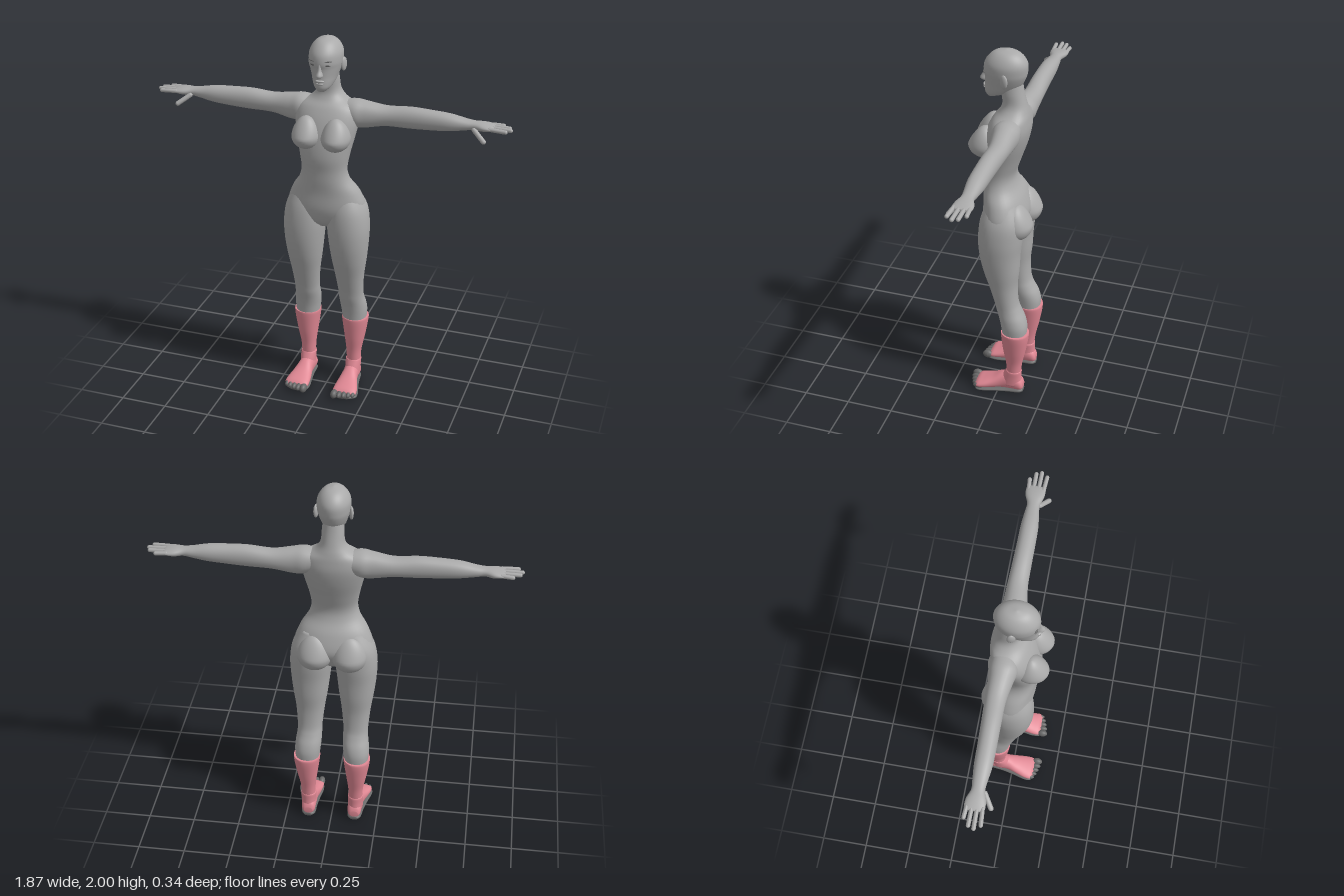
import * as THREE from 'three';

const mat = (name, color) => {
  const m = new THREE.MeshStandardMaterial({ color });
  m.name = name;
  return m;
};

// Smooth loft. Each row: [along, uMin, uMax, vMin, vMax], ascending along the axis.
const AXES = {
  y: (a, u, v) => [u, a, v],   // u = x, v = z
  x: (a, u, v) => [a, v, u],   // u = z, v = y
  z: (a, u, v) => [v, u, a],   // u = y, v = x
};
function loft(axis, rows, { sides = 36, steps = 5, power = 2.15 } = {}) {
  const put = AXES[axis], rings = [], pos = [], idx = [];
  const row = i => rows[Math.min(Math.max(i, 0), rows.length - 1)];
  for (let i = 0; i < rows.length - 1; i++) {
    for (let s = 0; s < steps; s++) {
      const t = s / steps;
      rings.push(rows[i].map((b, k) => {
        const a = row(i - 1)[k], c = row(i + 1)[k], d = row(i + 2)[k];
        return b + 0.5 * t * (c - a + t * (2 * a - 5 * b + 4 * c - d + t * (3 * (b - c) + d - a)));
      }));
    }
  }
  rings.push(rows[rows.length - 1]);
  const bend = c => Math.sign(c) * Math.abs(c) ** (2 / power);
  for (const [a, u0, u1, v0, v1] of rings) {
    for (let j = 0; j < sides; j++) {
      const th = j / sides * Math.PI * 2;
      pos.push(...put(a, (u0 + u1) / 2 + (u1 - u0) / 2 * bend(Math.cos(th)),
        (v0 + v1) / 2 + (v1 - v0) / 2 * bend(Math.sin(th))));
    }
  }
  const last = rings.length - 1, pole = pos.length / 3;
  for (const [a, u0, u1, v0, v1] of [rings[0], rings[last]]) pos.push(...put(a, (u0 + u1) / 2, (v0 + v1) / 2));
  for (let j = 0; j < sides; j++) {
    const k = (j + 1) % sides;
    for (let i = 0; i < last; i++) {
      const p = i * sides, q = p + sides;
      idx.push(p + j, q + j, p + k, q + j, q + k, p + k);
    }
    idx.push(pole, j, k, pole + 1, last * sides + k, last * sides + j);
  }
  const g = new THREE.BufferGeometry();
  g.setAttribute('position', new THREE.Float32BufferAttribute(pos, 3));
  g.setIndex(idx);
  g.computeVertexNormals();
  return g;
}

function ball(x, y, z, rx, ry, rz, turn = 0, tilt = 0) {
  return new THREE.SphereGeometry(1, 24, 16).scale(rx, ry, rz).rotateZ(tilt).rotateY(turn).translate(x, y, z);
}

// Rounded swelling whose upper half is stretched and sinks back into the body
function swelling(x, y, z, rx, ry, rz, stretch) {
  const g = new THREE.SphereGeometry(1, 32, 24), p = g.attributes.position;
  for (let i = 0; i < p.count; i++) {
    const h = Math.max(p.getY(i), 0);
    p.setXYZ(i, p.getX(i) * rx, p.getY(i) * ry * (1 + stretch * h), p.getZ(i) * rz * (1 - 0.25 * h));
  }
  g.translate(x, y, z);
  g.computeVertexNormals();
  return g;
}

function rod(a, b, r) {
  const p = new THREE.Vector3(...a), q = new THREE.Vector3(...b), d = q.clone().sub(p);
  const g = new THREE.CapsuleGeometry(r, d.length() - r, 6, 12);
  g.applyQuaternion(new THREE.Quaternion().setFromUnitVectors(new THREE.Vector3(0, 1, 0), d.normalize()));
  return g.translate(...p.add(q).multiplyScalar(0.5).toArray());
}

function mirrored(g) {
  const m = g.clone().scale(-1, 1, 1), ix = m.index.array;
  for (let i = 0; i < ix.length; i += 3) [ix[i], ix[i + 1]] = [ix[i + 1], ix[i]];
  m.computeVertexNormals();
  return m;
}

export function createModel() {
  const group = new THREE.Group();
  group.name = 'mannequin';
  const body = mat('body grey', 0xaaaaaa);
  const sock = mat('sock pink', 0xe08894);
  const dark = mat('dark grey', 0x686868);
  const add = (name, g, m) => {
    const mesh = new THREE.Mesh(g, m);
    mesh.name = name;
    group.add(mesh);
  };
  const pair = (name, g, m) => {
    add('left ' + name, g, m);
    add('right ' + name, mirrored(g), m);
  };
  const sym = rows => rows.map(([y, w, b, f]) => [y, -w, w, b, f]);

  // Torso and neck: height, half width, back, front
  add('torso', loft('y', sym([
    [0.99, 0.05, -0.07, 0.05], [1.03, 0.17, -0.1, 0.085], [1.1, 0.205, -0.125, 0.105],
    [1.19, 0.178, -0.1, 0.106], [1.26, 0.133, -0.062, 0.112], [1.32, 0.119, -0.052, 0.116],
    [1.4, 0.13, -0.075, 0.125], [1.5, 0.152, -0.108, 0.115], [1.58, 0.165, -0.124, 0.092],
    [1.64, 0.15, -0.122, 0.062], [1.68, 0.09, -0.115, 0.032], [1.72, 0.061, -0.104, 0.018],
    [1.78, 0.055, -0.09, 0.025], [1.84, 0.05, -0.08, 0.04],
  ])), body);
  pair('chest', swelling(0.077, 1.505, 0.085, 0.074, 0.068, 0.088, 0.5), body);
  pair('seat', swelling(0.09, 1.07, -0.08, 0.092, 0.085, 0.087, 0.35), body);

  // Head
  add('head', loft('y', sym([
    [1.745, 0.02, 0.055, 0.096], [1.765, 0.042, 0, 0.107], [1.79, 0.056, -0.05, 0.109],
    [1.82, 0.066, -0.08, 0.107], [1.86, 0.078, -0.1, 0.108], [1.89, 0.083, -0.107, 0.113],
    [1.93, 0.082, -0.107, 0.107], [1.965, 0.066, -0.088, 0.084], [1.989, 0.04, -0.055, 0.052],
    [2, 0.004, -0.005, 0.005],
  ]), { power: 2 }), body);
  add('nose', loft('y', sym([
    [1.82, 0.008, 0.09, 0.115], [1.832, 0.018, 0.085, 0.134], [1.86, 0.01, 0.085, 0.121],
    [1.895, 0.008, 0.085, 0.112],
  ]), { sides: 16, power: 2 }), body);
  add('upper lip', ball(0, 1.803, 0.105, 0.023, 0.006, 0.012), body);
  add('lower lip', ball(0, 1.79, 0.105, 0.02, 0.007, 0.012), body);
  add('mouth line', ball(0, 1.797, 0.108, 0.022, 0.002, 0.008), dark);
  pair('eye', ball(0.036, 1.884, 0.1, 0.016, 0.005, 0.004, 0.25), dark);
  pair('eyebrow', ball(0.038, 1.903, 0.1, 0.022, 0.003, 0.004, 0.28, 0.12), dark);
  pair('ear', ball(0.086, 1.865, -0.012, 0.011, 0.036, 0.021, -0.3), body);

  // Arm with palm: x, back, front, bottom, top
  pair('arm', loft('x', [
    [0.07, -0.1, 0.01, 1.57, 1.665], [0.14, -0.11, 0.03, 1.537, 1.677], [0.2, -0.104, 0.018, 1.535, 1.67],
    [0.3, -0.1, 0.002, 1.553, 1.656], [0.42, -0.095, 0, 1.555, 1.665], [0.52, -0.092, 0, 1.56, 1.662],
    [0.62, -0.09, -0.002, 1.568, 1.655], [0.7, -0.083, -0.012, 1.582, 1.64],
    [0.745, -0.08, -0.015, 1.59, 1.634], [0.79, -0.096, -0.002, 1.59, 1.631],
    [0.83, -0.098, 0, 1.598, 1.624], [0.845, -0.09, -0.008, 1.604, 1.618],
  ], { sides: 28 }), body);
  [[-0.085, -0.09, 0.89], [-0.062, -0.062, 0.925], [-0.037, -0.035, 0.935], [-0.012, -0.005, 0.915]]
    .forEach(([z0, z1, tip], i) => pair('finger ' + (i + 1), rod([0.82, 1.612, z0], [tip - 0.005, 1.61, z1], 0.0105), body));
  pair('thumb', rod([0.745, 1.602, -0.018], [0.81, 1.555, 0.025], 0.0125), body);

  // Leg: height, inner, outer, back, front
  pair('leg', loft('y', [
    [0.39, 0.07, 0.195, -0.152, -0.022], [0.45, 0.063, 0.2, -0.154, -0.014], [0.5, 0.058, 0.197, -0.142, -0.003],
    [0.55, 0.057, 0.19, -0.118, 0.012], [0.6, 0.056, 0.19, -0.102, 0.024], [0.7, 0.045, 0.199, -0.096, 0.053],
    [0.8, 0.03, 0.214, -0.105, 0.084], [0.9, 0.018, 0.225, -0.11, 0.104], [1, 0.008, 0.228, -0.12, 0.11],
    [1.1, 0.01, 0.212, -0.12, 0.1], [1.19, 0.03, 0.165, -0.08, 0.07],
  ]), body);

  // Sock: shaft, ankle cuff and foot
  pair('sock shaft', loft('y', [
    [0.13, 0.093, 0.168, -0.122, -0.045], [0.2, 0.09, 0.172, -0.13, -0.04], [0.28, 0.08, 0.188, -0.147, -0.027],
    [0.36, 0.069, 0.202, -0.161, -0.018], [0.4, 0.064, 0.207, -0.165, -0.015], [0.412, 0.065, 0.206, -0.163, -0.016],
  ]), sock);
  pair('ankle cuff', loft('y', [
    [0.05, 0.09, 0.17, -0.13, 0], [0.1, 0.089, 0.171, -0.126, -0.02], [0.136, 0.088, 0.172, -0.126, -0.038],
    [0.144, 0.091, 0.169, -0.123, -0.042],
  ]), sock);
  pair('foot', loft('z', [
    [-0.136, 0.025, 0.06, 0.105, 0.15], [-0.12, 0.012, 0.09, 0.092, 0.163], [-0.07, 0.01, 0.12, 0.088, 0.168],
    [-0.02, 0.01, 0.112, 0.087, 0.172], [0.03, 0.01, 0.085, 0.078, 0.187], [0.075, 0.01, 0.067, 0.072, 0.2],
    [0.108, 0.01, 0.055, 0.072, 0.202], [0.125, 0.018, 0.042, 0.08, 0.19],
  ]), sock);
  pair('sole', loft('z', [
    [-0.137, 0.004, 0.022, 0.107, 0.149], [-0.115, 0, 0.028, 0.09, 0.165], [-0.05, 0, 0.026, 0.087, 0.174],
    [0.02, 0, 0.026, 0.078, 0.19], [0.075, 0, 0.026, 0.069, 0.205], [0.112, 0, 0.026, 0.071, 0.204],
    [0.135, 0.004, 0.02, 0.08, 0.17],
  ]), dark);
  [[0.088, 0.137, 0.019], [0.117, 0.133, 0.014], [0.142, 0.126, 0.0135], [0.166, 0.117, 0.013], [0.188, 0.106, 0.0125]]
    .forEach(([x, z, r], i) => pair('toe ' + (i + 1), ball(x, 0.028, z, r, r * 1.25, 0.029), dark));

  return group;
}
